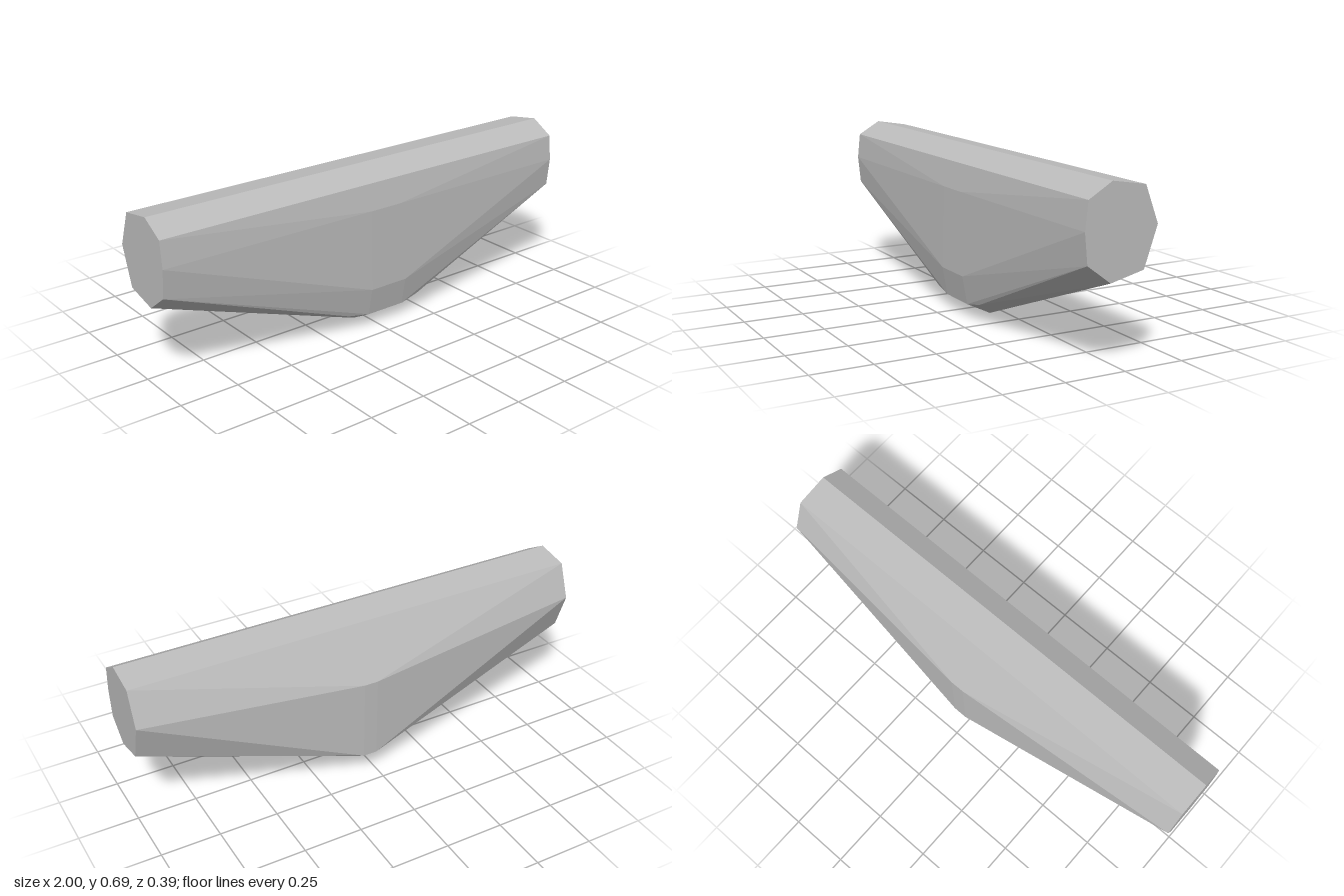
import * as THREE from 'three';
import { ConvexGeometry } from 'three/addons/geometries/ConvexGeometry.js';

export function createModel() {
  const group = new THREE.Group();
  group.name = 'facetedBeam';
  const grey = new THREE.MeshStandardMaterial({ color: 0xbcbcbc, flatShading: true });
  grey.name = 'grey';

  const points = [];
  const add = (x, y, z) => points.push(new THREE.Vector3(x, y, z));

  // Eight-sided end faces, as [z, y], the same on both ends
  const end = [
    [0.07, 0.693], [-0.07, 0.67], [-0.125, 0.525], [-0.07, 0.365],
    [0.07, 0.332], [0.168, 0.405], [0.18, 0.525], [0.168, 0.635],
  ];
  for (const x of [-1, 1]) for (const [z, y] of end) add(x, y, z);

  // Swollen, drooping middle, as [z, y, x from, x to]
  const middle = [
    [0.19, 0.525, -0.05, 0.1],
    [0.198, 0.18, -0.05, 0.13],
    [0.176, 0.06, -0.05, 0.13],
    [0.168, 0.077, -0.15, 0.22],
    [0.07, 0.002, -0.05, 0.02],
    [0.07, 0.008, -0.05, 0.13],
    [-0.05, 0.065, -0.12, 0.2],
    [-0.105, 0.047, -0.03, 0.1],
    [-0.19, 0.092, 0, 0.06],
    [-0.195, 0.452, 0, 0.06],
  ];
  for (const [z, y, x0, x1] of middle) {
    add(x0, y, z);
    add(x1, y, z);
  }

  // Faceted skin over the cross-sections
  const body = new THREE.Mesh(new ConvexGeometry(points), grey);
  body.name = 'body';
  group.add(body);
  return group;
}
